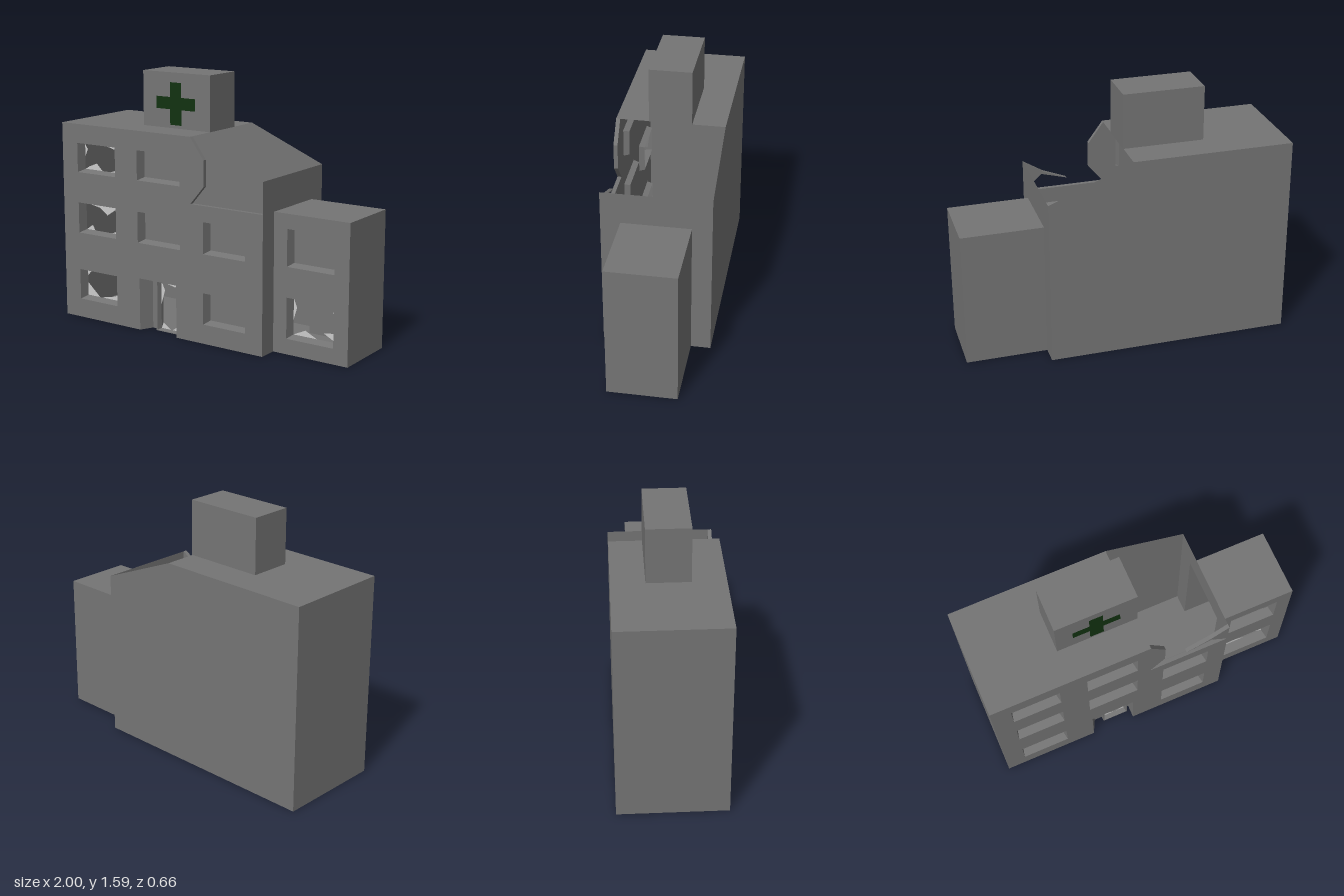
import * as THREE from 'three';

const paint = (color, side = THREE.DoubleSide) => new THREE.MeshStandardMaterial({ color, flatShading: true, side });
const wall = paint(0x757575);
const green = paint(0x123211);
const glass = paint(0xbcbcbc);

const polygon = (pts, holes = []) => {
  const shape = new THREE.Shape(pts.map(p => new THREE.Vector2(...p)));
  shape.holes = holes.map(h => polygon(h));
  return shape;
};
const rect = (x0, x1, y0, y1) => [[x0, y0], [x1, y0], [x1, y1], [x0, y1]];

function group(parent, name) {
  const g = new THREE.Group();
  g.name = name;
  parent.add(g);
  return g;
}

function add(parent, name, geometry, material = wall) {
  const mesh = new THREE.Mesh(geometry, material);
  mesh.name = name;
  parent.add(mesh);
}

// Thin sheets: upright (x, y) at z; level (x, z) at y; side (z, y) at x
const upright = (parent, name, pts, z, material) =>
  add(parent, name, new THREE.ShapeGeometry(polygon(pts)).translate(0, 0, z), material);
const level = (parent, name, pts, y) =>
  add(parent, name, new THREE.ShapeGeometry(polygon(pts)).rotateX(Math.PI / 2).translate(0, y, 0));
const side = (parent, name, pts, x, holes) =>
  add(parent, name, new THREE.ShapeGeometry(polygon(pts, holes)).rotateY(-Math.PI / 2).translate(x, 0, 0));

// A flat outline with holes, extruded from z0 to z1
function slab(parent, name, pts, holes, z0, z1) {
  const geometry = new THREE.ExtrudeGeometry(polygon(pts, holes), { depth: z1 - z0, bevelEnabled: false });
  add(parent, name, geometry.translate(0, 0, z0));
}

// Four sloping sides leading from the outer to the inner rectangle
function reveal(parent, outer, inner, z0, z1) {
  const pos = [];
  for (let i = 0; i < 4; i++) {
    const j = (i + 1) % 4;
    const [a, b, c, d] = [[...outer[i], z0], [...outer[j], z0], [...inner[j], z1], [...inner[i], z1]];
    pos.push(...a, ...b, ...c, ...a, ...c, ...d);
  }
  const geometry = new THREE.BufferGeometry();
  geometry.setAttribute('position', new THREE.Float32BufferAttribute(pos, 3));
  geometry.computeVertexNormals();
  add(parent, 'reveal', geometry);
}

// Broken glass left around the edge, in fractions of the opening
const shardSets = [
  [[[0, 0], [.5, 0], [.34, .27], [.12, .12]], [[.75, 0], [1, 0], [1, .15]], [[.65, 1], [1, 1], [1, .85]], [[0, .5], [.08, .8], [0, 1]]],
  [[[0, 0], [.25, 0], [.18, .2]], [[.05, 1], [.95, 1], [.62, .65], [.4, .9]], [[1, .1], [1, .9], [.9, .5]], [[.75, 0], [1, 0], [.95, .12]]],
  [[[0, 0], [.35, 0], [0, .5]], [[.4, 0], [1, 0], [1, .25], [.75, .12]], [[0, 1], [.12, 1], [0, .75]]],
  [[[0, 1], [0, .4], [.08, .75]], [[0, 0], [.55, 0], [.28, .17]], [[.7, .2], [1, 0], [1, .25]], [[1, .55], [1, 1], [.92, .8]]],
  [[[0, 1], [1, 1], [.75, .9], [.3, .95]], [[0, 1], [0, .5], [.2, .8]], [[1, .3], [1, .8], [.85, .55]], [[0, 0], [.5, 0], [.1, .12]], [[.6, 0], [1, 0], [1, .12]]]
];
function shards(parent, x0, x1, y0, y1, z, set) {
  for (const s of shardSets[set]) {
    upright(parent, 'glassShard', s.map(([u, v]) => [x0 + (x1 - x0) * u, y0 + (y1 - y0) * v]), z, glass);
  }
}

// Recessed window: a pane, an empty opening or a numbered set of shards
function fillWindow(parent, [x0, x1, y0, y1, filling], front) {
  const g = group(parent, 'window');
  const t = 0.013, z = front - 0.06;
  const inner = [x0 + t, x1 - t, y0 + t, y1 - t];
  reveal(g, rect(x0, x1, y0, y1), rect(...inner), front, z);
  if (filling === 'pane') upright(g, 'windowPane', rect(...inner), z);
  else if (filling !== 'open') shards(g, ...inner, z, filling);
}

export function createModel() {
  const model = new THREE.Group();
  model.name = 'ruinedHospital';

  // Main building: hollow shell, open where the roof has fallen in
  const main = group(model, 'mainBuilding');
  const windows = [
    [-.88, -.58, .12, .315, 2], [-.88, -.58, .555, .75, 1], [-.88, -.58, .945, 1.13, 0],
    [-.41, -.09, .555, .75, 'pane'], [-.41, -.09, .945, 1.13, 'pane'],
    [.08, .38, .12, .315, 'pane'], [.08, .38, .555, .75, 'pane']
  ];
  const tornEdge = [[.5, 1.04], [.38, .965], [.23, .905], [.39, .95], [.5, .848],
    [-.01, .848], [.085, .96], [.085, 1.12], [-.01, 1.25]];
  slab(main, 'frontWall', [[-1, 0], [-.4, 0], [-.4, .33], [-.12, .33], [-.12, 0], [.5, 0], ...tornEdge, [-1, 1.25]],
    windows.map(w => rect(...w)), .305, .33);
  windows.forEach(w => fillWindow(main, w, .33));
  upright(main, 'backWall', [[-1, 0], [.5, 0], [.5, 1.04], [-.01, 1.25], [-1, 1.25]], -.33);
  side(main, 'rightWall', rect(-.33, .33, 0, 1.25), -1);
  side(main, 'leftWall', [[-.33, 0], [-.21, 0], [-.21, .845], [.21, .845], [.21, 0], [.33, 0], [.33, 1.04], [-.33, 1.04]], .5);
  level(main, 'roof', rect(-1, -.01, -.33, .33), 1.25);
  level(main, 'floor', [[-1, -.33], [.5, -.33], [.5, .33], [-.12, .33], [-.12, .25], [-.36, .25], [-.4, .33], [-1, .33]], 0);

  // Entrance: recess with a slanted side, door frame and shards
  const entrance = group(model, 'entrance');
  const recess = [[-.4, .33], [-.36, .25], [-.12, .25], [-.12, .33]];
  level(entrance, 'recessCeiling', recess, .33);
  const jamb = new THREE.PlaneGeometry(Math.hypot(.04, .08), .33);
  add(entrance, 'slantedJamb', jamb.rotateY(Math.atan2(.08, .04)).translate(-.38, .165, .29));
  side(entrance, 'straightJamb', rect(.25, .33, 0, .33), -.12);
  upright(entrance, 'sideWall', rect(-.36, -.31, 0, .33), .25);
  upright(entrance, 'doorPost', rect(-.14, -.12, 0, .33), .25);
  slab(entrance, 'doorFrame', rect(-.31, -.14, 0, .33), [rect(-.302, -.148, .005, .325)], .22, .28);
  reveal(entrance, rect(-.302, -.148, .005, .325), rect(-.293, -.153, .01, .318), .28, .25);
  shards(entrance, -.293, -.153, .01, .318, .25, 4);

  // Side wing: hollow and open to the main building
  const wing = group(model, 'sideWing');
  const wingWindows = [[.59, .905, .53, .755, 'open'], [.59, .905, .095, .345, 3]];
  slab(wing, 'wingFront', rect(.5, 1, 0, .845), wingWindows.map(w => rect(...w)), .185, .21);
  wingWindows.forEach(w => fillWindow(wing, w, .21));
  upright(wing, 'wingBack', rect(.5, 1, 0, .845), -.21);
  side(wing, 'wingSide', rect(-.21, .21, 0, .845), 1);
  level(wing, 'wingRoof', rect(.5, 1, -.21, .21), .845);
  level(wing, 'wingFloor', rect(.5, 1, -.21, .21), 0);

  // Rooftop block with a flush green cross
  const block = new THREE.BoxGeometry(.5, .34, .26);
  add(model, 'roofBlock', block.translate(-.257, 1.42, 0));
  upright(model, 'greenCross', [[-.302, 1.27], [-.218, 1.27], [-.218, 1.365], [-.115, 1.365], [-.115, 1.44], [-.218, 1.44],
    [-.218, 1.53], [-.302, 1.53], [-.302, 1.44], [-.405, 1.44], [-.405, 1.365], [-.302, 1.365]], .132, green);

  return model;
}
